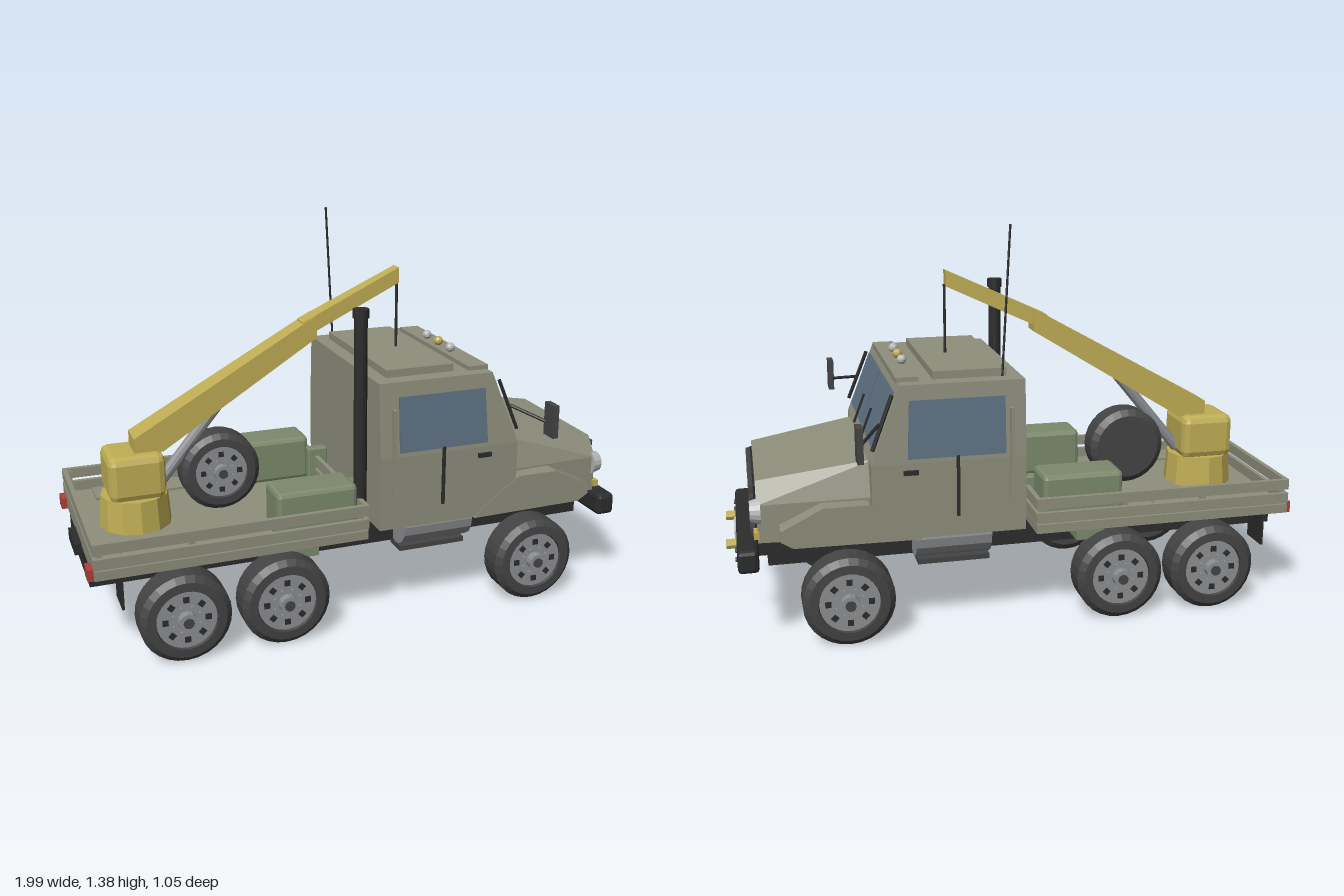
import * as THREE from 'three';
import { RoundedBoxGeometry } from 'three/addons/geometries/RoundedBoxGeometry.js';
import { ConvexGeometry } from 'three/addons/geometries/ConvexGeometry.js';

const mat = (color, flatShading = true) => new THREE.MeshStandardMaterial({ color, flatShading });
const M = {
  body: mat(0x8f8f7d), green: mat(0x7d8a6c), yellow: mat(0xc0ae55), dark: mat(0x2c2c2c),
  tire: mat(0x444444), rim: mat(0x8d8f92), glass: mat(0x5f7182), lamp: mat(0xb8b8b8), red: mat(0xb04038),
};

export function createModel() {
  const truck = new THREE.Group();
  truck.name = 'craneTruck';

  const add = (name, geo, m, x = 0, y = 0, z = 0, parent = truck) => {
    const mesh = new THREE.Mesh(geo, m);
    mesh.name = name;
    mesh.position.set(x, y, z);
    parent.add(mesh);
    return mesh;
  };
  // Box given by its extents on each axis
  const box = (name, m, x0, x1, y0, y1, z0, z1, round = 0) => {
    const d = [x1 - x0, y1 - y0, Math.abs(z1 - z0)];
    const geo = round ? new RoundedBoxGeometry(...d, 1, round) : new THREE.BoxGeometry(...d);
    return add(name, geo, m, (x0 + x1) / 2, (y0 + y1) / 2, (z0 + z1) / 2);
  };
  // Side profile extruded across z; half(x, y) optionally reshapes the width
  const prism = (pts, z0, z1, half) => {
    const shape = new THREE.Shape(pts.map(p => new THREE.Vector2(...p)));
    const g = new THREE.ExtrudeGeometry(shape, { depth: z1 - z0, bevelEnabled: false });
    g.translate(0, 0, z0);
    if (half) {
      const p = g.attributes.position;
      for (let i = 0; i < p.count; i++) p.setZ(i, Math.sign(p.getZ(i)) * half(p.getX(i), p.getY(i)));
      g.computeVertexNormals();
    }
    return g;
  };
  const cyl = (r, h, n = 16, axis = 'y', r2 = r) => {
    const g = new THREE.CylinderGeometry(r2, r, h, n);
    if (axis === 'x') g.rotateZ(-Math.PI / 2);
    if (axis === 'z') g.rotateX(Math.PI / 2);
    return g;
  };
  // Round bar between two points
  const rod = (name, m, a, b, r, n = 8) => {
    const A = new THREE.Vector3(...a), B = new THREE.Vector3(...b), d = B.clone().sub(A);
    const mesh = add(name, cyl(r, d.length(), n), m, ...A.add(B).multiplyScalar(0.5));
    mesh.quaternion.setFromUnitVectors(new THREE.Vector3(0, 1, 0), d.normalize());
  };

  // Wheel with rim, vents, hub and bolts, facing +z or -z
  const wheel = (name, x, y, z, side, k = 1) => {
    const g = new THREE.Group();
    g.name = name;
    const prof = [[0, -0.06], [0.13, -0.06], [0.155, -0.042], [0.155, 0.042], [0.135, 0.06], [0.105, 0.062], [0.1, 0.045]];
    const tire = new THREE.LatheGeometry(prof.map(p => new THREE.Vector2(...p)), 28);
    add('tire', tire.rotateX(Math.PI / 2), M.tire, 0, 0, 0, g);
    add('rim', cyl(0.103, 0.05, 28, 'z'), M.rim, 0, 0, 0.027, g);
    add('hub', cyl(0.032, 0.03, 12, 'z'), M.rim, 0, 0, 0.065, g);
    add('hubCap', cyl(0.018, 0.01, 12, 'z'), M.tire, 0, 0, 0.08, g);
    for (let i = 0; i < 8; i++) {
      const a = i * Math.PI / 4, c = Math.cos(a), s = Math.sin(a);
      const vent = add('rimVent', new THREE.BoxGeometry(0.02, 0.02, 0.008), M.dark, c * 0.072, s * 0.072, 0.052, g);
      vent.rotation.z = a;
      const b = a + Math.PI / 8;
      add('wheelBolt', cyl(0.005, 0.012, 6, 'z'), M.rim, Math.cos(b) * 0.048, Math.sin(b) * 0.048, 0.056, g);
    }
    g.position.set(x, y, z);
    g.rotation.y = side > 0 ? 0 : Math.PI;
    g.scale.setScalar(k);
    truck.add(g);
  };

  // Chassis and bumper
  box('chassis', M.dark, -0.97, 0.86, 0.25, 0.335, -0.22, 0.22);
  box('frontBumper', M.dark, 0.89, 0.96, 0.27, 0.35, -0.335, 0.335, 0.014);
  box('bumperMount', M.dark, 0.84, 0.9, 0.28, 0.34, -0.2, 0.2);
  box('frontPlate', M.lamp, 0.955, 0.966, 0.295, 0.328, -0.07, 0.07);
  box('rearPlate', M.dark, -0.995, -0.965, 0.305, 0.345, -0.075, 0.075);

  // Cab: straight lower half, tapered upper half
  const cabHalf = y => 0.365 - 0.02 * Math.max(0, y - 0.62) / 0.26;
  add('lowerCab', prism([[0, 0.36], [0.42, 0.36], [0.52, 0.45], [0.52, 0.62], [0, 0.62]], -0.365, 0.365), M.body);
  add('upperCab', prism([[0, 0.62], [0.52, 0.62], [0.42, 0.88], [0, 0.88]], -1, 1, (x, y) => cabHalf(y)), M.body);
  box('roofHatch', M.body, 0.05, 0.3, 0.88, 0.907, -0.285, 0.285);
  box('roofLightBar', M.body, 0.35, 0.425, 0.875, 0.895, -0.3, 0.3);
  for (const z of [-0.1, 0, 0.1]) {
    add('roofLamp', new THREE.SphereGeometry(0.017, 10, 8), z ? M.lamp : M.yellow, 0.375, 0.912, z);
  }

  // Hood with chamfered upper edges
  const section = (x, pts) => pts.flatMap(([y, h]) => [new THREE.Vector3(x, y, h), new THREE.Vector3(x, y, -h)]);
  add('hood', new ConvexGeometry([
    ...section(0.5, [[0.36, 0.32], [0.5, 0.32], [0.62, 0.285]]),
    ...section(0.89, [[0.36, 0.29], [0.49, 0.29], [0.56, 0.24]]),
  ]), M.body);

  // Grille
  box('grillePanel', M.dark, 0.88, 0.897, 0.37, 0.54, -0.235, 0.235);
  for (let i = 0; i < 5; i++) {
    const y = 0.375 + i * 0.035;
    box('grilleSlat', M.tire, 0.89, 0.912, y, y + 0.021, -0.235, 0.235);
  }

  // Parts on both sides
  for (const s of [1, -1]) {
    [['rearWheel', -0.685], ['middleWheel', -0.34], ['frontWheel', 0.605]].forEach(([n, x]) => wheel(n, x, 0.157, s * 0.325, s));

    const fender = prism([[0.36, 0.355], [0.78, 0.36], [0.82, 0.385], [0.82, 0.42], [0.68, 0.49], [0.53, 0.49], [0.39, 0.39]], -0.045, 0.045);
    add('frontFender', fender, M.body, 0, 0, s * 0.322);

    // Glass, slanted with the cab panels
    const pane = add('windshield', new THREE.BoxGeometry(0.012, 0.2, 0.295), M.glass, 0.47, 0.757, s * 0.163);
    pane.rotation.z = Math.atan2(0.1, 0.26);
    const glass = prism([[0.07, -0.097], [0.4, -0.097], [0.39, 0.097], [0.07, 0.097]], -0.006, 0.006);
    add('doorWindow', glass, M.glass, 0, 0.732, s * 0.356).rotation.x = -s * 0.077;
    box('windshieldWiper', M.dark, 0.5, 0.508, 0.64, 0.75, s * 0.1, s * 0.106).rotation.z = 0.367;
    rod('pillarTrim', M.dark, [0.445, 0.85, s * 0.347], [0.515, 0.67, s * 0.36], 0.007, 6);

    box('doorHandle', M.dark, 0.365, 0.415, 0.583, 0.598, s * 0.36, s * 0.375);
    box('doorBar', M.dark, 0.228, 0.238, 0.43, 0.64, s * 0.36, s * 0.374);
    box('grabRail', M.body, 0.043, 0.055, 0.47, 0.79, s * 0.35, s * 0.374);

    // Mirror
    rod('mirrorArm', M.dark, [0.49, 0.755, s * 0.35], [0.57, 0.722, s * 0.48], 0.006, 6);
    box('mirror', M.tire, 0.56, 0.58, 0.68, 0.795, s * 0.465, s * 0.527);

    // Lamps
    add('headlight', cyl(0.045, 0.035, 16, 'x', 0.036), M.lamp, 0.895, 0.465, s * 0.27);
    box('turnSignal', M.yellow, 0.885, 0.903, 0.378, 0.402, s * 0.255, s * 0.305);
    add('fogLight', cyl(0.018, 0.04, 8, 'x'), M.yellow, 0.975, 0.31, s * 0.143);
    for (const z of [0.21, 0.29]) add('bumperBolt', cyl(0.009, 0.012, 8, 'x'), M.tire, 0.96, 0.31, s * z);
    box('tailLamp', M.red, -0.99, -0.965, 0.33, 0.37, s * 0.285, s * 0.345);

    // Tank, step and mud flaps
    add('fuelTank', cyl(0.085, 0.26, 16, 'x'), M.rim, 0.24, 0.338, s * 0.245);
    box('cabStep', M.tire, 0.11, 0.36, 0.232, 0.25, s * 0.2, s * 0.285);
    box('mudFlap', M.dark, -0.888, -0.88, 0.215, 0.345, s * 0.24, s * 0.35);
    box('bedBracket', M.green, -0.3, -0.2, 0.275, 0.335, s * 0.21, s * 0.3);

    // Bed side boards, posts and cargo
    for (const y of [0.372, 0.423]) box('sideBoard', M.body, -0.97, -0.04, y, y + 0.037, s * 0.345, s * 0.362);
    for (const x of [-0.95, -0.65, -0.36, -0.06]) box('sidePost', M.body, x - 0.01, x + 0.01, 0.35, 0.455, s * 0.333, s * 0.347);
    box('floorPanel', M.body, -0.87, -0.5, 0.36, 0.376, s * 0.235, s * 0.345);
    box('cargoBox', M.green, -0.355, -0.07, 0.365, 0.53, s * 0.187, s * 0.335, 0.015);
    box('canister', M.green, -0.08, -0.003, 0.365, 0.49, s * 0.16, s * 0.2, 0.006);
  }

  // Bed floor and end boards
  box('bedFloor', M.body, -0.97, -0.04, 0.335, 0.367, -0.36, 0.36);
  for (const y of [0.372, 0.423]) {
    box('tailBoard', M.body, -0.972, -0.955, y, y + 0.037, -0.36, 0.36);
    box('headBoard', M.body, -0.055, -0.038, y, y + 0.037, -0.36, 0.36);
  }
  wheel('spareWheel', -0.47, 0.527, 0, 1, 0.9);

  // Crane
  add('craneColumn', cyl(0.125, 0.115, 12, 'y', 0.117), M.yellow, -0.77, 0.422, 0);
  box('craneHead', M.yellow, -0.867, -0.672, 0.475, 0.635, -0.1, 0.1, 0.025);
  add('lowerBoom', prism([[-0.77, 0.62], [-0.67, 0.63], [-0.11, 0.975], [-0.11, 1.055], [-0.77, 0.685]], -1, 1,
    x => 0.037 + 0.016 * (-0.11 - x) / 0.66), M.yellow);
  add('upperBoom', prism([[-0.16, 0.975], [0.203, 1.145], [0.203, 1.2], [-0.16, 1.032]], -1, 1,
    x => 0.034 - 0.01 * (x + 0.16) / 0.36), M.yellow);
  rod('craneStrut', M.rim, [-0.68, 0.5, 0], [-0.44, 0.79, 0], 0.02, 10);
  rod('hoistCable', M.dark, [0.205, 1.15, 0], [0.205, 0.9, 0], 0.005, 6);

  // Exhaust stack and antenna
  add('exhaustStack', cyl(0.023, 0.7, 12), M.dark, -0.038, 0.755, 0.272);
  add('exhaustCap', cyl(0.028, 0.03, 12), M.dark, -0.038, 1.108, 0.272);
  rod('antenna', M.dark, [0.065, 0.88, -0.287], [0.035, 1.38, -0.273], 0.004, 6);

  return truck;
}
